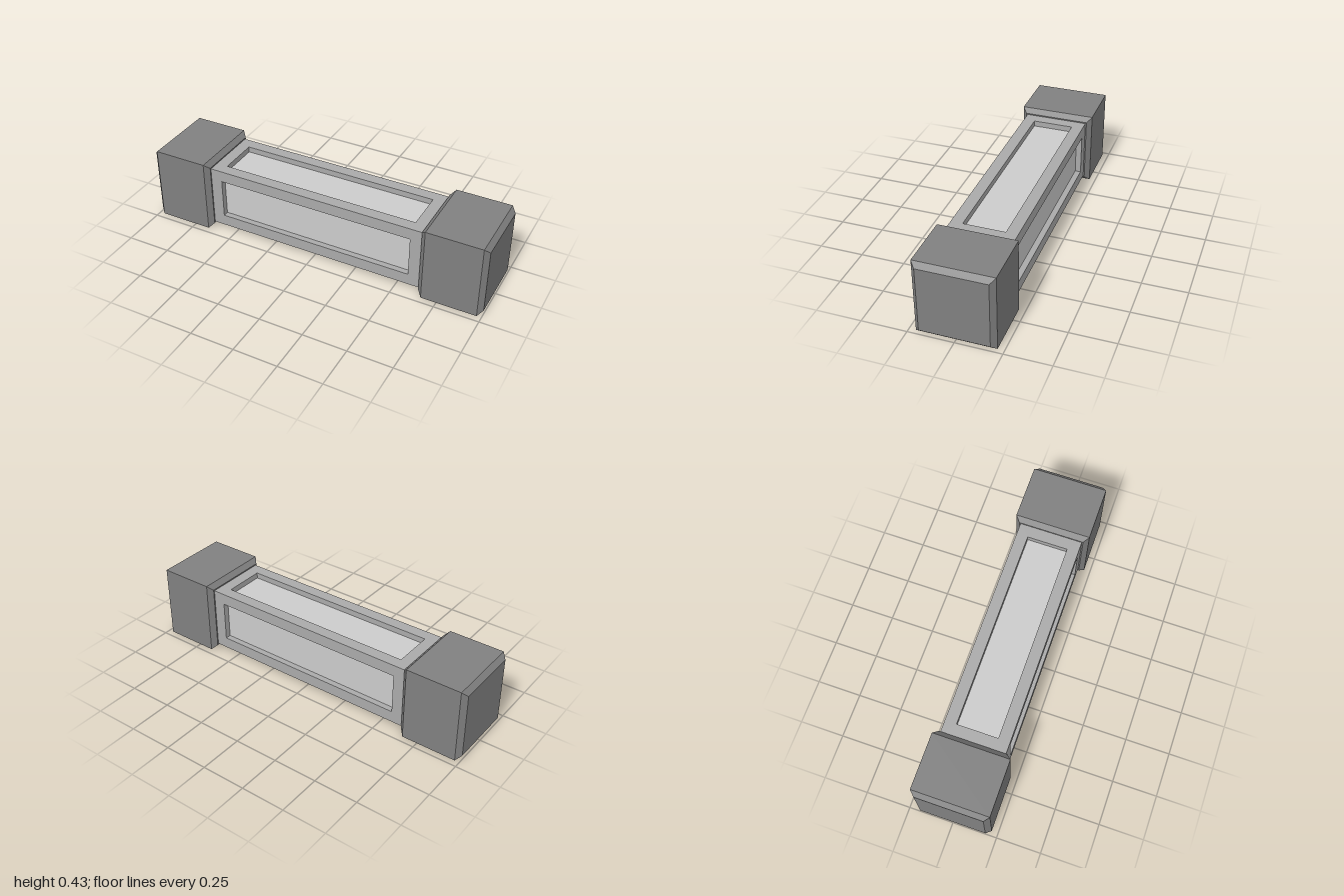
import * as THREE from 'three';

const CENTER_Y = 0.2136;   // height of the long axis
const HALF = 0.18;         // half thickness of the body
const DEPTH = 0.033;       // recess of the panels
const BODY_X = 0.645;      // body runs just inside the caps

const material = (color) => new THREE.MeshStandardMaterial({ color, flatShading: true });

function rectangle(path, hx, hy) {
  path.moveTo(-hx, -hy);
  path.lineTo(hx, -hy);
  path.lineTo(hx, hy);
  path.lineTo(-hx, hy);
  path.closePath();
  return path;
}

// One side of the body: a slab with a window, long edges mitred at 45 degrees
function frameSideGeometry() {
  const shape = rectangle(new THREE.Shape(), BODY_X, HALF);
  shape.holes.push(rectangle(new THREE.Path(), 0.57, 0.115));
  const geometry = new THREE.ExtrudeGeometry(shape, { depth: DEPTH, bevelEnabled: false });
  const pos = geometry.attributes.position;
  for (let i = 0; i < pos.count; i++) {
    const y = pos.getY(i);
    if (pos.getZ(i) < DEPTH / 2 && Math.abs(y) > HALF - 0.001) {
      pos.setY(i, Math.sign(y) * (HALF - DEPTH));
    }
  }
  geometry.computeVertexNormals();
  return geometry.translate(0, 0, HALF - DEPTH);
}

// Square block along x with chamfered rims at both ends
function capGeometry() {
  const half = 0.182, full = 0.2136, rim = 0.187, chamfer = 0.0266;
  const profile = [
    [0, -half], [rim, -half], [full, -half + chamfer],
    [full, half - chamfer], [rim, half], [0, half],
  ].map(([r, y]) => new THREE.Vector2(r * Math.SQRT2, y));
  return new THREE.LatheGeometry(profile, 4).rotateY(Math.PI / 4).rotateZ(-Math.PI / 2);
}

export function createModel() {
  const model = new THREE.Group();
  const capMaterial = material(0x808080);
  const frameMaterial = material(0xaaaaaa);
  const panelMaterial = material(0xcccccc);

  const add = (name, geometry, mat, x = 0) => {
    const mesh = new THREE.Mesh(geometry, mat);
    mesh.name = name;
    mesh.position.set(x, CENTER_Y, 0);
    model.add(mesh);
    return mesh;
  };

  // Inner core, seen as the four recessed panels
  const coreSize = 2 * (HALF - DEPTH);
  add('recessedPanels', new THREE.BoxGeometry(2 * BODY_X - 0.002, coreSize, coreSize), panelMaterial);

  // Four window frames around the long axis
  const side = frameSideGeometry();
  ['frontFrame', 'bottomFrame', 'backFrame', 'topFrame'].forEach((name, i) => {
    add(name, side, frameMaterial).rotation.x = i * Math.PI / 2;
  });

  // End caps
  const cap = capGeometry();
  add('leftCap', cap, capMaterial, 0.818);
  add('rightCap', cap, capMaterial, -0.818);

  return model;
}
